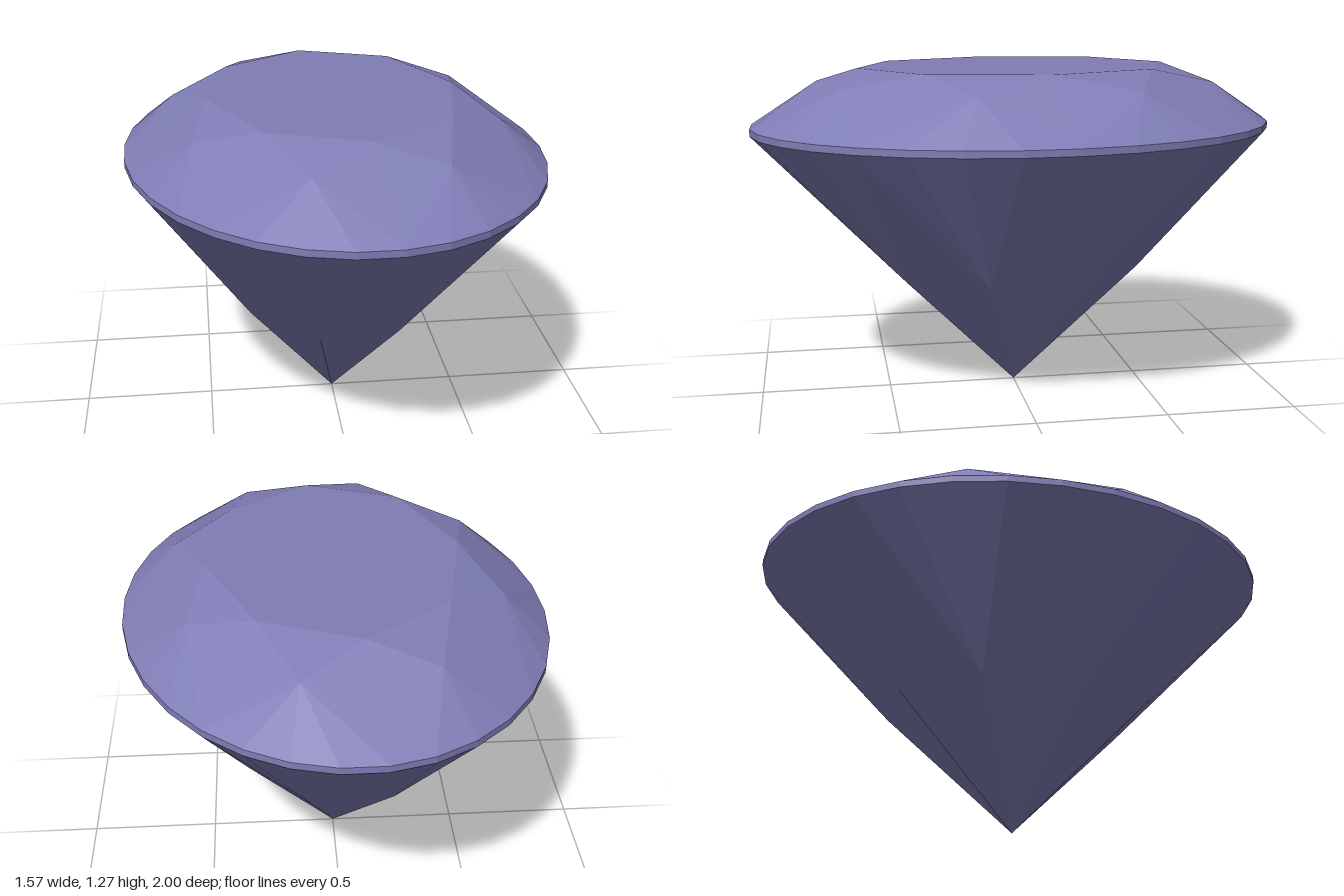
import * as THREE from 'three';

const SIDES = 8;          // main facets
const STEPS = 4;          // girdle edges per main facet
const RAD = Math.PI / 180;

// Point on the slightly skewed oval; turn counts main facets
function point(radius, y, turn) {
  const u = (turn * 360 / SIDES - 5.625) * RAD;
  return [0.787 * radius * Math.sin(u - 2.6 * RAD), y, -1.005 * radius * Math.cos(u)];
}

// Flat-faceted mesh from polygons, each fanned from its first corner
function facets(name, polygons, material) {
  const pos = [];
  for (const p of polygons) {
    for (let i = 1; i < p.length - 1; i++) pos.push(...p[0], ...p[i], ...p[i + 1]);
  }
  const geometry = new THREE.BufferGeometry();
  geometry.setAttribute('position', new THREE.Float32BufferAttribute(pos, 3));
  geometry.computeVertexNormals();
  const mesh = new THREE.Mesh(geometry, material);
  mesh.name = name;
  return mesh;
}

export function createModel() {
  const gem = new THREE.MeshStandardMaterial({ color: 0x7f7db5 });
  gem.name = 'violet gem';

  const tableAt = (j) => point(0.603, 1.27, j);
  const crownAt = (j) => point(0.78, 1.207, j + 0.5);
  const rimTop = (i) => point(1, 1.055, i / STEPS);
  const rimLow = (i) => point(1, 1.03, i / STEPS);
  const lowerAt = (j) => point(0.5, 0.476, j + 0.5);
  const culet = [0, 0, 0];

  const table = [], crown = [], girdle = [], pavilion = [];
  for (let j = 0; j < SIDES; j++) {
    table.push([[0, 1.27, 0], tableAt(j + 1), tableAt(j)]);
    // star and kite facets
    crown.push([tableAt(j), tableAt(j + 1), crownAt(j)]);
    crown.push([tableAt(j), crownAt(j), rimTop(j * STEPS), crownAt(j - 1)]);
    // long kites down to the tip
    pavilion.push([culet, lowerAt(j - 1), rimLow(j * STEPS), lowerAt(j)]);
    // narrow facets meeting the girdle
    for (let k = 0; k < STEPS; k++) {
      const i = j * STEPS + k;
      crown.push([crownAt(j), rimTop(i + 1), rimTop(i)]);
      girdle.push([rimLow(i + 1), rimLow(i), rimTop(i), rimTop(i + 1)]);
      pavilion.push([lowerAt(j), rimLow(i), rimLow(i + 1)]);
    }
  }

  const group = new THREE.Group();
  group.name = 'ovalGem';
  group.add(
    facets('table', table, gem),
    facets('crown', crown, gem),
    facets('girdle', girdle, gem),
    facets('pavilion', pavilion, gem),
  );
  return group;
}
